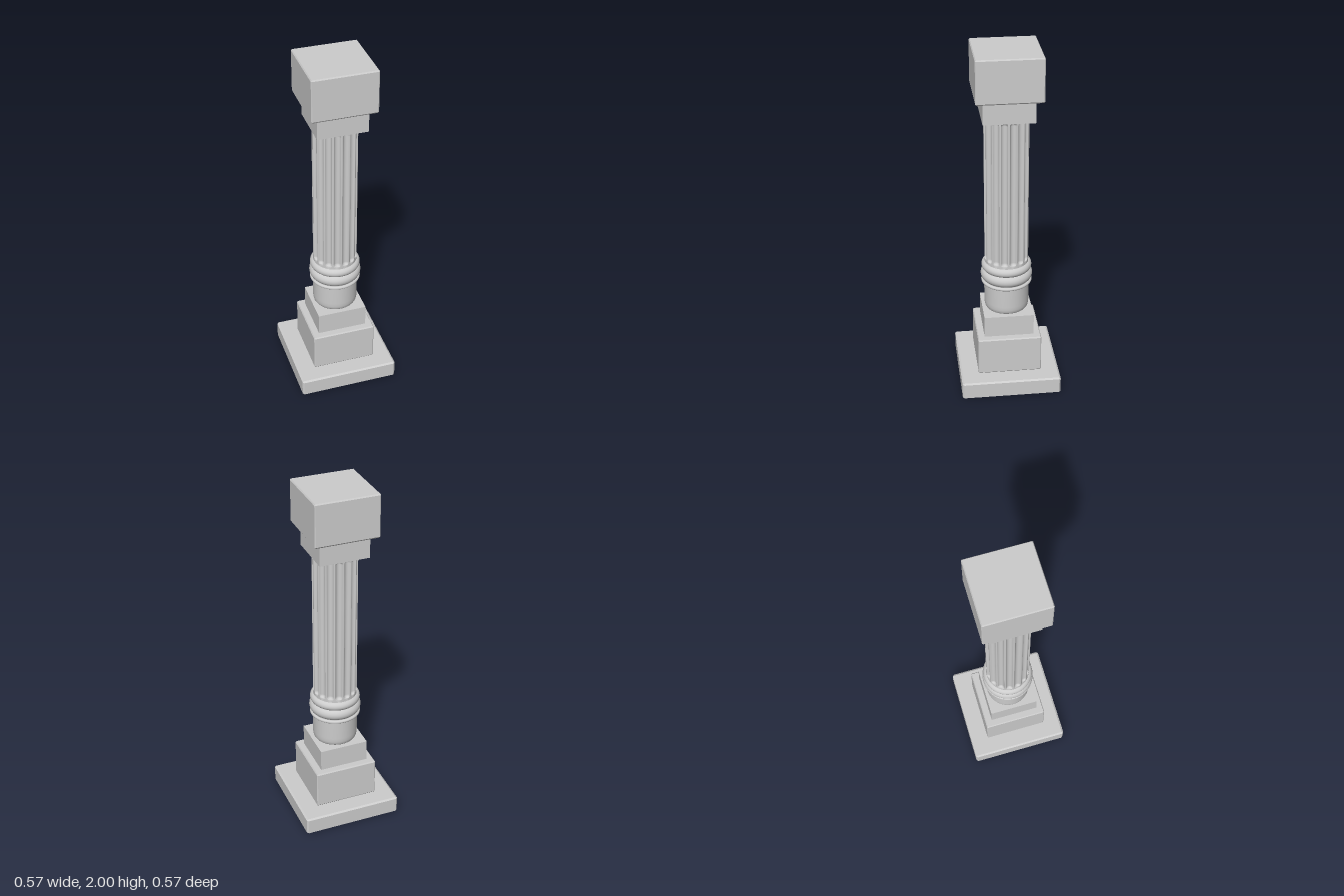
import * as THREE from 'three';

const stone = new THREE.MeshStandardMaterial({ color: 0xcccccc });
stone.name = 'grey stone';

// Square block with chamfered edges: c is the inset, d the drop of the chamfer
function blockGeometry(half, y0, y1, c, d) {
  const ring = (h, y) => {
    const k = half - c;
    return [[k, h], [h, k], [h, -k], [k, -h], [-k, -h], [-h, -k], [-h, k], [-k, h]].map(([x, z]) => [x, y, z]);
  };
  const rings = [ring(half - c, y0), ring(half, y0 + d), ring(half, y1 - d), ring(half - c, y1)];
  const pos = [];
  const tri = (...p) => p.forEach((v) => pos.push(...v));
  for (let r = 0; r < 3; r++) {
    for (let i = 0; i < 8; i++) {
      const j = (i + 1) % 8;
      const a = rings[r][i], b = rings[r][j], e = rings[r + 1][j], f = rings[r + 1][i];
      tri(a, b, e);
      tri(a, e, f);
    }
  }
  for (let i = 1; i < 7; i++) {
    tri(rings[3][0], rings[3][i], rings[3][i + 1]);
    tri(rings[0][0], rings[0][i + 1], rings[0][i]);
  }
  const g = new THREE.BufferGeometry();
  g.setAttribute('position', new THREE.Float32BufferAttribute(pos, 3));
  g.computeVertexNormals();
  return g;
}

// Cylinder wall carved with round-ended vertical flutes
function flutedGeometry(radius, y0, y1, flutes, depth, cutLow, cutHigh) {
  const pitch = (2 * Math.PI) / flutes;
  const w = radius * pitch * 0.39; // half width of one flute
  const samples = [-1.26, -1.02, -0.98, -0.85, -0.6, -0.3, 0, 0.3, 0.6, 0.85, 0.98, 1.02];
  const angles = [];
  for (let k = 0; k < flutes; k++) {
    samples.forEach((s) => angles.push({ s, a: (k + 0.5) * pitch + (s * w) / radius }));
  }
  const rows = [y0];
  const steps = 10;
  for (let i = 0; i <= steps; i++) rows.push(cutLow + (w * i) / steps);
  for (let i = steps; i >= 0; i--) rows.push(cutHigh - (w * i) / steps);
  rows.push(y1);
  const pos = [], index = [], n = angles.length;
  rows.forEach((y, r) => {
    const end = Math.max(0, cutLow + w - y, y - (cutHigh - w)) / w;
    angles.forEach(({ s, a }) => {
      const rad = radius - depth * Math.sqrt(Math.max(0, 1 - s * s - end * end));
      pos.push(Math.sin(a) * rad, y, Math.cos(a) * rad);
    });
    if (r === 0) return;
    for (let i = 0; i < n; i++) {
      const j = (i + 1) % n, lo = (r - 1) * n, hi = r * n;
      index.push(lo + i, lo + j, hi + j, lo + i, hi + j, hi + i);
    }
  });
  const g = new THREE.BufferGeometry();
  g.setAttribute('position', new THREE.Float32BufferAttribute(pos, 3));
  g.setIndex(index);
  g.computeVertexNormals();
  return g;
}

export function createModel() {
  const column = new THREE.Group();
  column.name = 'column';
  const add = (name, geometry, y = 0) => {
    const mesh = new THREE.Mesh(geometry, stone);
    mesh.name = name;
    mesh.position.y = y;
    column.add(mesh);
    return mesh;
  };

  // Stepped square base and matching top
  add('plinth', blockGeometry(0.283, 0, 0.102, 0.01, 0.007));
  add('lowerBlock', blockGeometry(0.181, 0.1, 0.325, 0.005, 0.007));
  add('lowerNeckBlock', new THREE.BoxGeometry(0.282, 0.13, 0.282), 0.385);
  add('upperNeckBlock', new THREE.BoxGeometry(0.282, 0.13, 0.282), 1.695);
  add('topBlock', blockGeometry(0.181, 1.755, 2, 0.005, 0.007));

  // Plain round drum with a softened foot
  const drum = [[0, 0.449], [0.108, 0.449], [0.117, 0.454], [0.123, 0.463], [0.126, 0.478], [0.127, 0.5], [0.127, 0.625]];
  add('drum', new THREE.LatheGeometry(drum.map(([x, y]) => new THREE.Vector2(x, y)), 64));

  // Moulded collar: one thin ring below two fat ones
  const rings = [
    ['collarBead', 0.134, 0.01, 0.625],
    ['collarLowerRing', 0.109, 0.038, 0.667],
    ['collarUpperRing', 0.114, 0.028, 0.722],
  ];
  rings.forEach(([name, radius, tube, y]) => {
    add(name, new THREE.TorusGeometry(radius, tube, 20, 64), y).rotation.x = Math.PI / 2;
  });
  add('collarCore', new THREE.CylinderGeometry(0.123, 0.123, 0.13, 64), 0.685);

  // Fluted shaft
  add('flutedShaft', flutedGeometry(0.124, 0.73, 1.635, 16, 0.016, 0.762, 1.625));
  return column;
}
